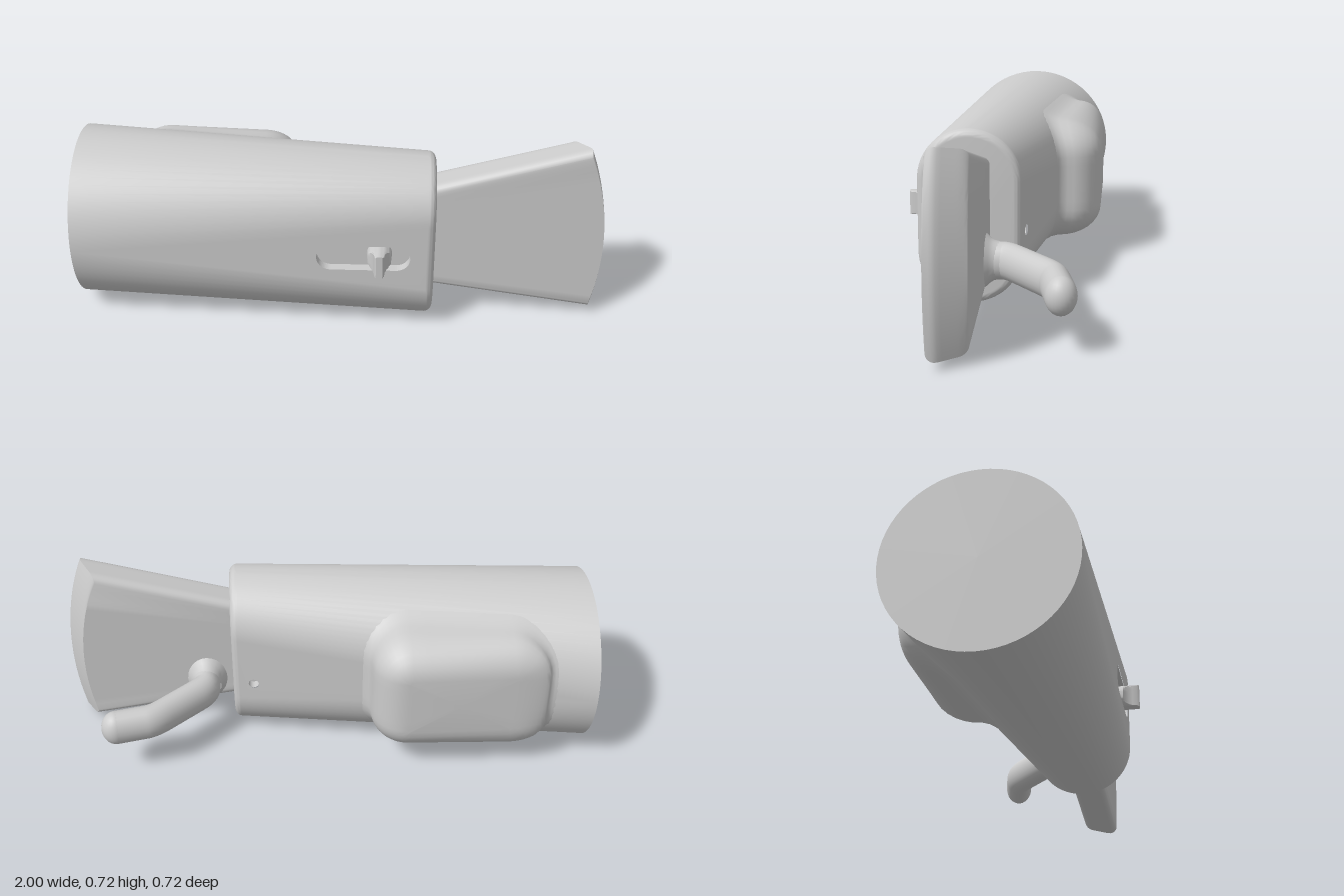
import * as THREE from 'three';
import { mergeGeometries, toCreasedNormals } from 'three/addons/utils/BufferGeometryUtils.js';

const V = (x, y, z) => new THREE.Vector3(x, y, z);
const CY = 0.33; // height of the body's axis
const FRONT = 0.3; // z of the body's flat front
const HALF = Math.PI / 2;

// Skin over a list of rings, with optional end caps
function loft(rings, { closed = true, start = false, end = false } = {}) {
  const tris = [];
  const n = rings[0].length;
  const next = (j) => (j + 1) % n;
  for (let i = 0; i < rings.length - 1; i++) {
    for (let j = 0; j < (closed ? n : n - 1); j++) {
      const a = rings[i][j], b = rings[i][next(j)];
      const c = rings[i + 1][next(j)], d = rings[i + 1][j];
      tris.push(a, b, c, a, c, d);
    }
  }
  const cap = (ring, flip) => {
    const mid = ring.reduce((s, p) => s.add(p), V(0, 0, 0)).divideScalar(n);
    ring.forEach((p, j) => (flip ? tris.push(mid, ring[next(j)], p) : tris.push(mid, p, ring[next(j)])));
  };
  if (start) cap(rings[0], true);
  if (end) cap(rings[rings.length - 1], false);
  return new THREE.BufferGeometry().setFromPoints(tris);
}

// Body section: corner radius and half length of the straight side at x
const radius = (x) => 0.33 - 0.14 * (x + 1) / 1.36;
const straight = (x) => 0.14 * (x + 1) / 1.36;
const backZ = (x) => FRONT - 2 * radius(x);

function bodyBackAt(x, y) {
  const r = radius(x);
  const d = Math.max(0, Math.abs(y - CY) - straight(x));
  return FRONT - r - Math.sqrt(Math.max(0, r * r - d * d));
}

// Half-round arc of the section, upper (+1) or lower (-1)
function arc(x, side, at = x, inset = 0) {
  const r = radius(at);
  const from = side > 0 ? -HALF : HALF;
  return Array.from({ length: 33 }, (_, i) => {
    const t = from + (Math.PI * i) / 32;
    return V(x, CY + side * straight(at) + (r - inset) * Math.cos(t), FRONT - r + (r - inset) * Math.sin(t));
  });
}
const section = (x, at, inset) => [...arc(x, 1, at, inset), ...arc(x, -1, at, inset)];

function slotPath(PathType, r) {
  const p = new PathType();
  p.absarc(0.217, CY, r, -HALF, HALF);
  p.absarc(-0.027, CY, r, HALF, 3 * HALF);
  p.closePath();
  return p;
}

// Flat triangular side of the body with an opening in it
function flatSide(hole, zAt, flip) {
  const s = straight(0.33);
  const shape = new THREE.Shape([[-1, CY], [0.33, CY - s], [0.33, CY + s]].map(([x, y]) => new THREE.Vector2(x, y)));
  shape.holes.push(hole);
  const g = new THREE.ShapeGeometry(shape, 16);
  const pos = g.attributes.position;
  for (let i = 0; i < pos.count; i++) pos.setZ(i, zAt(pos.getX(i)));
  if (flip) g.setIndex([...g.index.array].reverse());
  const out = g.toNonIndexed();
  out.deleteAttribute('uv');
  out.deleteAttribute('normal');
  return out;
}

const PIN = { x: 0.28, y: 0.27, r: 0.02 };

function bodyGeometry() {
  const fillet = Array.from({ length: 9 }, (_, i) => {
    const a = (HALF * i) / 8;
    return section(0.33 + 0.03 * Math.sin(a), 0.33, 0.03 * (1 - Math.cos(a)));
  });
  const pinHole = new THREE.Path().absarc(PIN.x, PIN.y, PIN.r, 0, Math.PI * 2);
  return mergeGeometries([
    loft([arc(-1, 1), arc(0.33, 1)], { closed: false }),
    loft([arc(-1, -1), arc(0.33, -1)], { closed: false }),
    flatSide(slotPath(THREE.Path, 0.053), () => FRONT, false),
    flatSide(pinHole, backZ, true),
    loft([section(-1, -1, 0)], { start: true }),
    loft(fillet, { end: true }),
  ]);
}

// Rounded rectangle of the rear housing, inset by o
function housingOutline(o) {
  const r = 0.14 - o;
  const corners = [[1, 1], [-1, 1], [-1, -1], [1, -1]].map(([sx, sy], k) =>
    Array.from({ length: 9 }, (_, i) => {
      const t = HALF * (k + i / 8);
      return V(-0.4925 + sx * 0.1875 + r * Math.cos(t), CY + sy * 0.11 + r * Math.sin(t), 0);
    }));
  return corners.flatMap((c, k) => {
    const to = corners[(k + 1) % 4][0];
    return [...c, ...[1, 2, 3, 4, 5].map((i) => c[8].clone().lerp(to, i / 6))];
  });
}

function housingGeometry() {
  const top = -0.355;
  const wall = housingOutline(0).map((p) => {
    const z = bodyBackAt(p.x, p.y);
    return z - Math.min(0.035, 0.4 * (z - top));
  });
  const rings = [];
  // rounded crown, from the flat outwards
  for (let i = 8; i >= 0; i--) {
    const a = (HALF * i) / 8;
    rings.push(housingOutline(0.13 * (1 - Math.cos(a))).map((p, j) => p.setZ(wall[j] + (top - wall[j]) * Math.sin(a))));
  }
  // flare into the body
  for (const [o, lift] of [[-0.008, 0.4], [-0.02, 0.12], [-0.04, -0.15]]) {
    rings.push(housingOutline(o).map((p) => {
      const z = bodyBackAt(p.x, p.y);
      return p.setZ(z - lift * Math.min(0.035, 0.4 * (z - top)));
    }));
  }
  return loft(rings, { start: true });
}

// Fan-shaped blade: a box moved by a rule
function bladeGeometry() {
  const g = new THREE.BoxGeometry(1, 1, 1, 1, 24, 16);
  g.deleteAttribute('uv');
  g.deleteAttribute('normal');
  const pos = g.attributes.position;
  const mix = THREE.MathUtils.lerp;
  const round = 0.03;
  for (let i = 0; i < pos.count; i++) {
    const u = pos.getX(i) + 0.5, v = pos.getY(i) + 0.5;
    const dz = 0.0675 * Math.sin(pos.getZ(i) * Math.PI);
    const z = 0.0975 + dz;
    const e = Math.max(0, Math.abs(dz) - 0.0675 + round);
    const inset = round - Math.sqrt(Math.max(0, round * round - e * e));
    const bevel = 0.06 * THREE.MathUtils.clamp((0.13 - z) / 0.1, 0, 1);
    const x = mix(0.3, mix(0.975, 0.92, v) + 0.2 * v * (1 - v) - bevel, u);
    const low = mix(0.13, 0.03, (x - 0.3) / 0.675) + inset;
    const high = mix(0.545, 0.72, (x - 0.3) / 0.62) - inset;
    pos.setXYZ(i, x, mix(low, high, v), z);
  }
  return g;
}

// Thumb knob: round foot pinched to a thin ridge
function knobGeometry() {
  const levels = [[0.255, 0.048], [0.3, 0.044], [0.308, 0.034], [0.32, 0.025], [0.335, 0.02], [0.352, 0.018], [0.36, 0.012]];
  return loft(levels.map(([z, w]) => Array.from({ length: 40 }, (_, i) => {
    const t = (Math.PI * i) / 20;
    return V(0.155 + THREE.MathUtils.clamp(0.048 * Math.cos(t), -w, w), CY + 0.048 * Math.sin(t), z);
  })), { end: true });
}

export function createModel() {
  const model = new THREE.Group();
  const grey = new THREE.MeshStandardMaterial({ color: 0xcccccc });
  const greyBoth = new THREE.MeshStandardMaterial({ color: 0xcccccc, side: THREE.DoubleSide });
  const add = (name, geometry, parent = model, material = grey) => {
    const mesh = new THREE.Mesh(geometry, material);
    mesh.name = name;
    parent.add(mesh);
    return mesh;
  };

  add('body', toCreasedNormals(bodyGeometry(), 0.5));
  add('rearHousing', toCreasedNormals(housingGeometry(), 0.8));
  add('blade', toCreasedNormals(bladeGeometry(), 0.5));

  // Slot with its walls and floor
  const rim = slotPath(THREE.Shape, 0.058);
  rim.holes.push(slotPath(THREE.Path, 0.053));
  add('slotWall', new THREE.ExtrudeGeometry(rim, { depth: 0.038, bevelEnabled: false, curveSegments: 16 })).position.z = 0.26;
  add('slotFloor', new THREE.ShapeGeometry(slotPath(THREE.Shape, 0.055), 16)).position.z = 0.261;
  add('slideKnob', toCreasedNormals(knobGeometry(), 0.6));

  // Small blind hole in the back
  const pin = add('pinHole', new THREE.CylinderGeometry(PIN.r, PIN.r, 0.04, 20, 1, true), model, greyBoth);
  pin.rotation.x = HALF;
  pin.position.set(PIN.x, PIN.y, backZ(PIN.x) + 0.023);
  const pinFloor = add('pinHoleFloor', new THREE.CircleGeometry(PIN.r, 20), model, greyBoth);
  pinFloor.position.set(PIN.x, PIN.y, backZ(PIN.x) + 0.04);

  // Bent lever behind the blade, taller than it is wide
  const lever = new THREE.Group();
  lever.name = 'lever';
  lever.position.y = 0.21;
  lever.scale.y = 1.25;
  model.add(lever);
  const path = new THREE.CurvePath();
  const bends = [V(0.468, 0, 0.05), V(0.468, 0, -0.05), V(0.665, 0, -0.225), V(0.805, 0, -0.256)];
  let from = bends[0];
  for (let i = 1; i < 3; i++) {
    const into = bends[i].clone().lerp(bends[i - 1], 0.2), out = bends[i].clone().lerp(bends[i + 1], 0.2);
    path.add(new THREE.LineCurve3(from, into));
    path.add(new THREE.QuadraticBezierCurve3(into, bends[i], out));
    from = out;
  }
  path.add(new THREE.LineCurve3(from, bends[3]));
  add('leverArm', new THREE.TubeGeometry(path, 60, 0.055, 24), lever);
  add('leverTip', new THREE.SphereGeometry(0.055, 24, 16), lever).position.copy(bends[3]);
  const foot = [[0.08, 0], [0.068, 0.015], [0.059, 0.03], [0.055, 0.05]].map(([r, h]) => new THREE.Vector2(r, h));
  const base = add('leverFoot', new THREE.LatheGeometry(foot, 24), lever);
  base.rotation.x = -HALF;
  base.position.set(0.465, 0, 0.032);

  return model;
}
